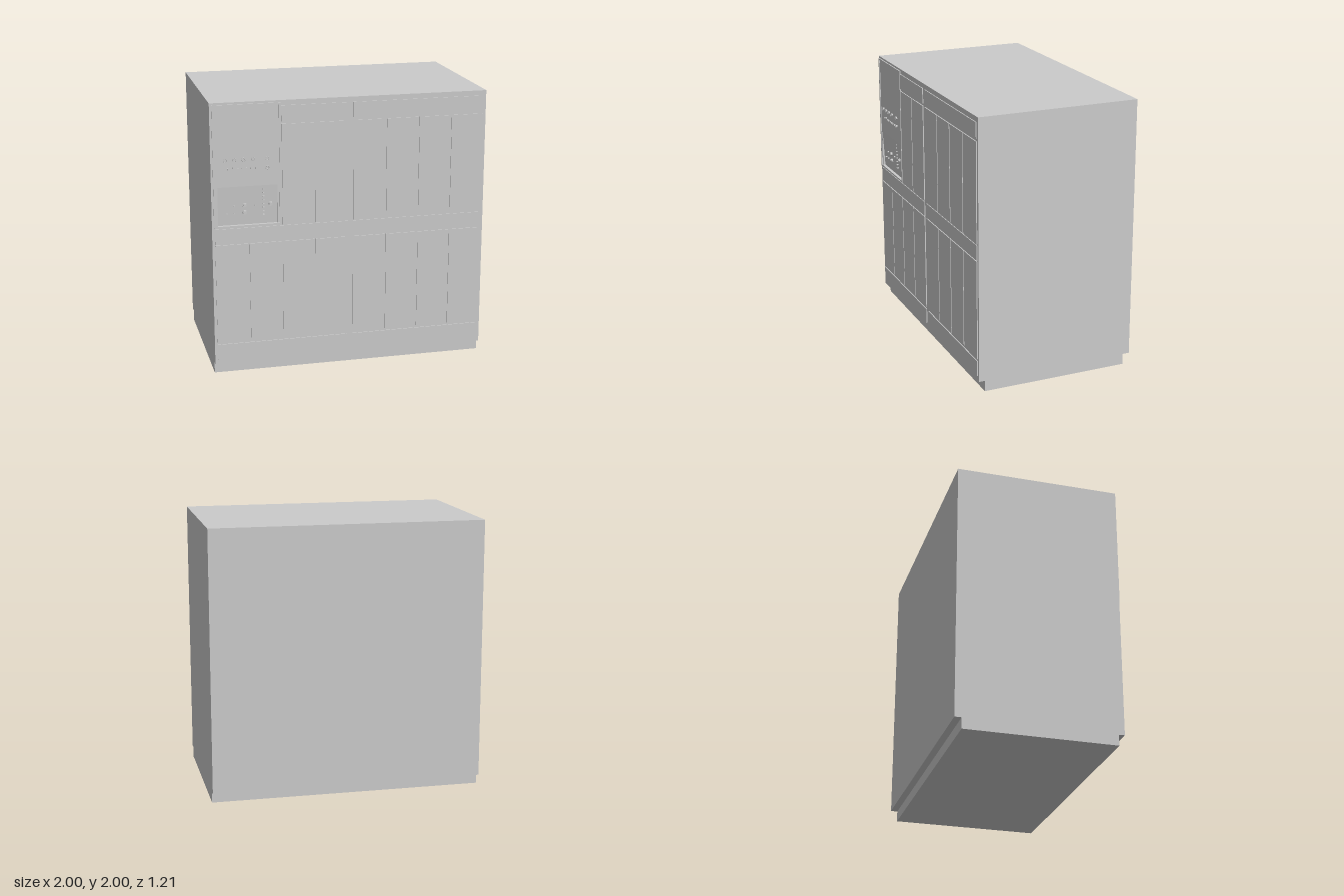
import * as THREE from 'three';

const material = new THREE.MeshStandardMaterial({ color: 0xcccccc, flatShading: true });
const smooth = new THREE.MeshStandardMaterial({ color: 0xcccccc, side: THREE.DoubleSide });
const FACE = 0.588; // front plane of the cabinet
const RAISED = 0.595; // front plane of the doors

// Box given by its limits on each axis
function block(name, x0, x1, y0, y1, z0, z1) {
  const mesh = new THREE.Mesh(new THREE.BoxGeometry(x1 - x0, y1 - y0, z1 - z0), material);
  mesh.position.set((x0 + x1) / 2, (y0 + y1) / 2, (z0 + z1) / 2);
  mesh.name = name;
  return mesh;
}

// Rectangular plate with a rectangular opening; rects are [x0, x1, y0, y1]
function frame(name, outer, inner, z0, z1) {
  const trace = (path, [x0, x1, y0, y1]) =>
    path.moveTo(x0, y0).lineTo(x1, y0).lineTo(x1, y1).lineTo(x0, y1).closePath();
  const shape = new THREE.Shape();
  trace(shape, outer);
  const hole = new THREE.Path();
  trace(hole, inner);
  shape.holes.push(hole);
  const mesh = new THREE.Mesh(
    new THREE.ExtrudeGeometry(shape, { depth: z1 - z0, bevelEnabled: false }), material);
  mesh.position.z = z0;
  mesh.name = name;
  return mesh;
}

// Round control whose axis points forwards
function knob(name, x, y, z0, z1, radius, sides) {
  const geometry = new THREE.CylinderGeometry(radius * 0.85, radius, z1 - z0, sides);
  geometry.rotateX(Math.PI / 2);
  const mesh = new THREE.Mesh(geometry, material);
  mesh.position.set(x, y, (z0 + z1) / 2);
  mesh.name = name;
  return mesh;
}

// Raised doors, drawers and rails of one half of the cabinet
function bay(side) {
  const group = new THREE.Group();
  group.name = side < 0 ? 'rightBay' : 'leftBay';
  const add = (name, a, b, y0, y1, z = RAISED) =>
    group.add(block(name, Math.min(side * a, side * b), Math.max(side * a, side * b), y0, y1, FACE - 0.004, z));
  const hasConsole = side < 0;
  const outer = hasConsole ? 0.498 : 0.98;
  add('topPanel', 0.02, outer, 1.848, 1.963);
  add('middleRail', 0.02, 0.98, 0.985, 1.097, RAISED - 0.001);
  add('bottomPanel', 0.02, 0.98, 0.118, 0.232);
  const edges = [0.02, 0.26, 0.5, 0.74, 0.98];
  for (let i = 0; i < 4; i++) {
    const a = edges[i] + (i ? 0.005 : 0);
    const b = edges[i + 1] - (i < 3 ? 0.005 : 0);
    if (!hasConsole || i < 2) add('upperDoor', a, b, 1.103, 1.832);
    add('lowerDoor', a, b, 0.248, 0.979);
  }
  return group;
}

function controlPanel() {
  const group = new THREE.Group();
  group.name = 'controlPanel';
  group.add(frame('consoleFrame', [-0.985, -0.502, 1.105, 1.985], [-0.97, -0.515, 1.118, 1.972], FACE - 0.002, 0.597));
  group.add(block('upperConsole', -0.97, -0.515, 1.4, 1.972, 0.56, 0.591));

  // Lower console leans back towards its bottom edge
  const lower = block('lowerConsole', -0.957, -0.53, 1.118, 1.4, 0.55, 0.59);
  const pos = lower.geometry.attributes.position;
  for (let i = 0; i < pos.count; i++) {
    if (pos.getY(i) < 0 && pos.getZ(i) > 0) pos.setZ(i, pos.getZ(i) - 0.016);
  }
  lower.geometry.computeVertexNormals();
  group.add(lower);
  for (const x of [-0.9635, -0.5225]) {
    group.add(block('consoleCheek', x - 0.0065, x + 0.0075, 1.118, 1.4, 0.56, 0.591));
  }

  // Upper dials: a rim around a short cap
  const dials = [[-0.9, 1.595], [-0.835, 1.595], [-0.77, 1.595], [-0.702, 1.595], [-0.602, 1.595], [-0.602, 1.53]];
  for (const [x, y] of dials) {
    group.add(knob('dialCap', x, y, 0.585, 0.602, 0.011, 16));
    const rim = new THREE.Mesh(new THREE.TorusGeometry(0.0115, 0.0025, 6, 20), smooth);
    rim.position.set(x, y, 0.6025);
    rim.name = 'dialRim';
    group.add(rim);
  }

  // Row of small switches
  [-0.88, -0.842, -0.808, -0.778, -0.748, -0.715, -0.683, -0.65].forEach((x, i) =>
    group.add(block('toggleSwitch', x - 0.003, x + 0.003, 1.522 + (i === 1 ? 0.008 : 0), 1.534 + (i === 1 ? 0.008 : 0), 0.588, 0.6)));

  // Lower knobs, buttons and the vertical row of switches
  for (const [x, y] of [[-0.765, 1.262], [-0.765, 1.208], [-0.58, 1.26]]) {
    group.add(knob('knobSkirt', x, y, 0.57, 0.59, 0.018, 10));
    group.add(knob('knobCap', x, y, 0.585, 0.597, 0.012, 16));
  }
  for (const [x, y] of [[-0.84, 1.258], [-0.692, 1.258], [-0.89, 1.204], [-0.84, 1.204]]) {
    group.add(knob('button', x, y, 0.57, 0.594, 0.006, 8));
  }
  for (let i = 0; i < 8; i++) {
    const y = 1.185 + i * 0.0268;
    group.add(block('rowSwitch', -0.635, -0.623, y - 0.003, y + 0.003, 0.57, 0.594));
  }
  return group;
}

export function createModel() {
  const model = new THREE.Group();
  model.name = 'cabinet';

  // Carcass, with an opening in its front for the console
  model.add(block('plinth', -1, 1, 0, 0.08, -0.555, 0.545));
  model.add(block('carcass', -1, 1, 0.08, 2, -0.605, 0.56));
  model.add(frame('frontFace', [-1, 1, 0.08, 2], [-0.97, -0.515, 1.118, 1.972], 0.56, FACE));

  model.add(bay(-1), bay(1), controlPanel());
  return model;
}
